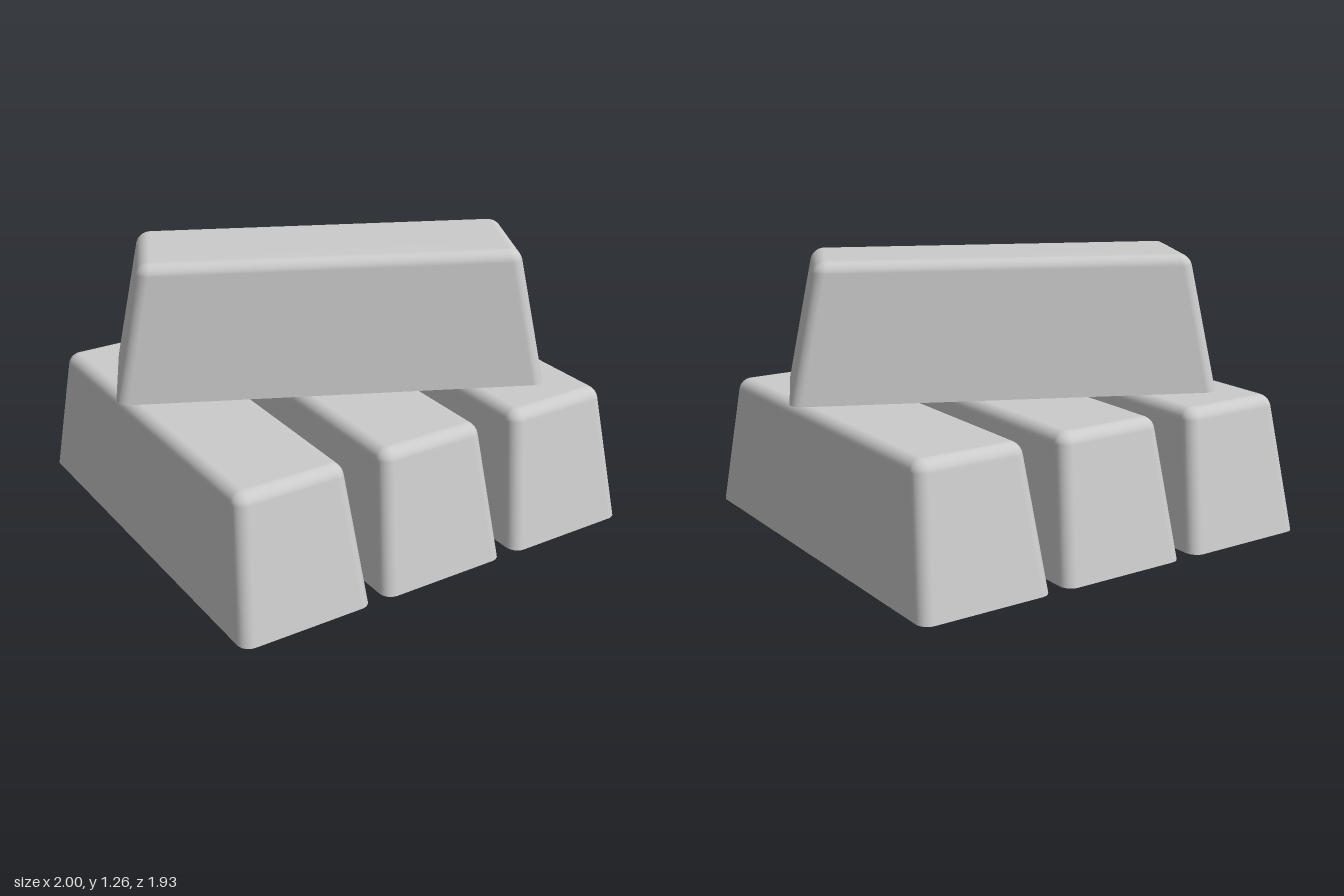
import * as THREE from 'three';

const HEIGHT = 0.625, HALF_W = 0.31, HALF_L = 0.965;
const TAPER_W = 0.055, TAPER_L = 0.125;
const FILLET = 0.05, CORNER = 0.055, CORNER_STEPS = 6, FILLET_STEPS = 6;

// Rounded rectangle outline at height y, shrunk by the taper and the fillet inset
function ring(y, inset) {
  const t = y / HEIGHT;
  const r = CORNER - inset;
  const cx = HALF_W - TAPER_W * t - CORNER, cz = HALF_L - TAPER_L * t - CORNER;
  const points = [];
  [[1, 1], [-1, 1], [-1, -1], [1, -1]].forEach(([sx, sz], q) => {
    for (let i = 0; i <= CORNER_STEPS; i++) {
      const a = (q + i / CORNER_STEPS) * Math.PI / 2;
      points.push([sx * cx + r * Math.cos(a), y, sz * cz + r * Math.sin(a)]);
    }
  });
  return points;
}

// Tapered ingot: sharp flat base, rounded upright corners, filleted top edge
function ingotGeometry() {
  const rings = [ring(0, 0)];
  for (let i = 0; i <= FILLET_STEPS; i++) {
    const a = i / FILLET_STEPS * Math.PI / 2;
    rings.push(ring(HEIGHT - FILLET + FILLET * Math.sin(a), FILLET * (1 - Math.cos(a))));
  }
  const n = rings[0].length;
  const vertices = rings.flat();
  const index = [];
  for (let k = 0; k < rings.length - 1; k++) {
    for (let i = 0; i < n; i++) {
      const j = (i + 1) % n;
      const a = k * n + i, b = k * n + j, c = a + n, d = b + n;
      index.push(a, c, b, b, c, d);
    }
  }

  // Top face shares the last ring; the base has its own ring to stay sharp
  const top = (rings.length - 1) * n;
  const topCentre = vertices.push([0, HEIGHT, 0]) - 1;
  const base = vertices.length;
  vertices.push(...rings[0]);
  const baseCentre = vertices.push([0, 0, 0]) - 1;
  for (let i = 0; i < n; i++) {
    const j = (i + 1) % n;
    index.push(topCentre, top + j, top + i, baseCentre, base + i, base + j);
  }

  const geometry = new THREE.BufferGeometry();
  geometry.setAttribute('position', new THREE.Float32BufferAttribute(vertices.flat(), 3));
  geometry.setIndex(index);
  geometry.computeVertexNormals();
  return geometry;
}

export function createModel() {
  const model = new THREE.Group();
  model.name = 'ingotStack';
  const geometry = ingotGeometry();
  const material = new THREE.MeshStandardMaterial({ color: 0xcccccc });

  const addIngot = (name, x, y, turn) => {
    const mesh = new THREE.Mesh(geometry, material);
    mesh.name = name;
    mesh.position.set(x, y, 0);
    mesh.rotation.y = turn;
    model.add(mesh);
  };

  // Three bars side by side, one laid askew on top
  addIngot('rightIngot', -0.69, 0, 0);
  addIngot('middleIngot', 0, 0, 0);
  addIngot('leftIngot', 0.69, 0, 0);
  addIngot('topIngot', 0, 0.635, 1.12);
  return model;
}
